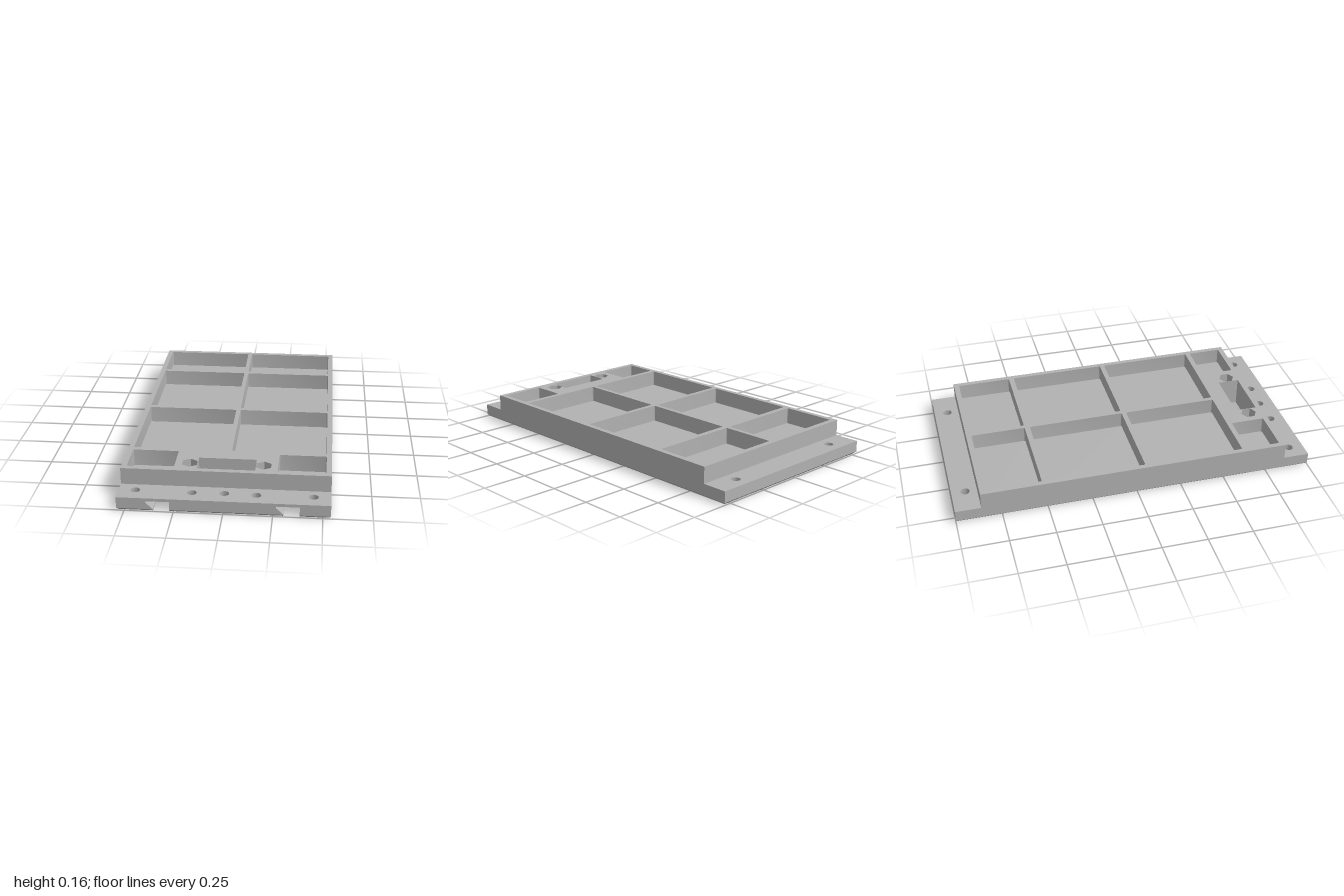
import * as THREE from 'three';
import { mergeGeometries, toCreasedNormals } from 'three/addons/utils/BufferGeometryUtils.js';

// Plan outlines are lists of [x, z], running counter-clockwise seen from above.
const rect = (x0, x1, z0, z1) => [[x0, z1], [x1, z1], [x1, z0], [x0, z0]];

const ngon = (cx, cz, r, n, turn = 0) => Array.from({ length: n }, (_, i) => {
  const a = turn + (i / n) * Math.PI * 2;
  return [cx + r * Math.cos(a), cz - r * Math.sin(a)];
});

function roundRect(x0, x1, z0, z1, r = 0.008) {
  const corners = [[x1 - r, z0 + r], [x0 + r, z0 + r], [x0 + r, z1 - r], [x1 - r, z1 - r]];
  return corners.flatMap(([cx, cz], q) => [0, 1, 2, 3].map((i) => {
    const a = (q + i / 3) * Math.PI / 2;
    return [cx + r * Math.cos(a), cz - r * Math.sin(a)];
  }));
}

const toGeometry = (pos) => {
  const g = new THREE.BufferGeometry();
  g.setAttribute('position', new THREE.Float32BufferAttribute(pos, 3));
  return g;
};

// Side walls through a stack of [y, outline] levels; inward for holes.
function walls(levels, inward = false) {
  const pos = [];
  for (let l = 0; l + 1 < levels.length; l++) {
    const [y0, lo] = levels[l];
    const [y1, hi] = levels[l + 1];
    lo.forEach((p, i) => {
      const j = (i + 1) % lo.length;
      const a = [p[0], y0, p[1]], b = [lo[j][0], y0, lo[j][1]];
      const c = [hi[j][0], y1, hi[j][1]], d = [hi[i][0], y1, hi[i][1]];
      pos.push(...(inward ? [a, c, b, a, d, c] : [a, b, c, a, c, d]).flat());
    });
  }
  return toGeometry(pos);
}

// Flat horizontal face with holes, facing up or down.
function cap(y, outline, holes = [], up = true) {
  const vec = (o) => o.map(([x, z]) => new THREE.Vector2(x, -z));
  const shape = new THREE.Shape(vec(outline));
  shape.holes = holes.map((h) => new THREE.Path(vec(h)));
  const g = new THREE.ShapeGeometry(shape).toNonIndexed();
  g.rotateX(-Math.PI / 2).translate(0, y, 0);
  const p = Array.from(g.attributes.position.array);
  if (up) return toGeometry(p);
  const flipped = [];
  for (let i = 0; i < p.length; i += 9) {
    flipped.push(...p.slice(i, i + 3), ...p.slice(i + 6, i + 9), ...p.slice(i + 3, i + 6));
  }
  return toGeometry(flipped);
}

const W = 0.54, LEDGE = 0.073, TOP = 0.163, FLOOR = 0.072;
const SLOT_END = -0.45, SLOT_TOP = 0.057, BEVEL = 0.012;
const SLOTS = [[-0.353, -0.27], [0.303, 0.385]];

// Base outline with two rail slots open to the front
function slottedOutline(inset, undercut) {
  const x = W - inset, z = 1 - inset;
  const notches = SLOTS.flatMap(([a, b]) => [
    [a - undercut, z], [a - undercut, SLOT_END], [b, SLOT_END], [b, z],
  ]);
  return [[-x, z], ...notches, [x, z], [x, -z], [-x, -z]];
}

export function createModel() {
  const model = new THREE.Group();
  model.name = 'mountingTray';
  const grey = new THREE.MeshStandardMaterial({ color: 0xb2b2b2 });
  grey.name = 'grey';

  const add = (name, parts) => {
    const mesh = new THREE.Mesh(toCreasedNormals(mergeGeometries(parts), 0.5), grey);
    mesh.name = name;
    model.add(mesh);
  };

  const frontScrews = [[-0.455, 0.915], [-0.165, 0.92], [0, 0.915], [0.163, 0.92], [0.452, 0.915]];
  const backScrews = [[-0.382, -0.925], [0.38, -0.925]];
  const screws = [...frontScrews, ...backScrews];
  const nuts = [[-0.193, 0.765], [0.19, 0.765]];
  const circles = (list, r) => list.map(([x, z]) => ngon(x, z, r, 32));
  const hexes = nuts.map(([x, z]) => ngon(x, z, 0.045, 6, Math.PI / 6));
  const connector = rect(-0.152, 0.15, 0.703, 0.825);

  // Base plate: bevelled underside, undercut slots, plain rim above them
  const plate = rect(-W, W, -1, 1);
  add('basePlate', [
    cap(0, slottedOutline(BEVEL, 0),
      [...circles(screws, 0.04), ...circles(nuts, 0.026), connector], false),
    walls([
      [0, slottedOutline(BEVEL, 0)],
      [BEVEL, slottedOutline(0, 0)],
      [0.05, slottedOutline(0, 0.037)],
      [SLOT_TOP, slottedOutline(0, 0.037)],
    ]),
    walls([[SLOT_TOP, plate], [LEDGE, plate]]),
  ]);
  add('slotCeilings', SLOTS.map(([a, b]) =>
    cap(SLOT_TOP, rect(a - 0.037, b, SLOT_END, 1), [], false)));

  // Mounting ledges at both ends
  add('frontLedge', [cap(LEDGE, rect(-W, W, 0.855, 1), circles(frontScrews, 0.025))]);
  add('backLedge', [cap(LEDGE, rect(-W, W, -1, -0.86), circles(backScrews, 0.025))]);

  // Countersunk screw holes
  add('screwHoles', screws.map(([x, z]) => walls([
    [0, ngon(x, z, 0.04, 32)], [0.035, ngon(x, z, 0.025, 32)], [LEDGE, ngon(x, z, 0.025, 32)],
  ], true)));

  // Raised frame with its grid of pockets
  const pockets = [];
  for (const [x0, x1] of [[-0.512, -0.012], [0.012, 0.512]]) {
    for (const [z0, z1] of [[-0.83, -0.525], [-0.495, 0.048], [0.075, 0.607]]) {
      pockets.push(roundRect(x0, x1, z0, z1));
    }
  }
  pockets.push(roundRect(-0.512, -0.268, 0.636, 0.826), roundRect(0.265, 0.512, 0.636, 0.826));
  const body = rect(-W, W, -0.86, 0.855);
  add('frame', [
    walls([[LEDGE, body], [TOP, body]]),
    cap(TOP, body, [...pockets, ...hexes, connector]),
  ]);
  add('pockets', pockets.flatMap((p) => [cap(FLOOR, p), walls([[FLOOR, p], [TOP, p]], true)]));

  // Connector window and the nut traps beside it
  add('connectorWindow', [walls([[0, connector], [TOP, connector]], true)]);
  add('nutTraps', nuts.flatMap(([x, z], i) => {
    const bore = ngon(x, z, 0.026, 32);
    return [
      walls([[0, bore], [LEDGE, bore]], true),
      cap(LEDGE, hexes[i], [bore]),
      walls([[LEDGE, hexes[i]], [TOP, hexes[i]]], true),
    ];
  }));

  return model;
}
